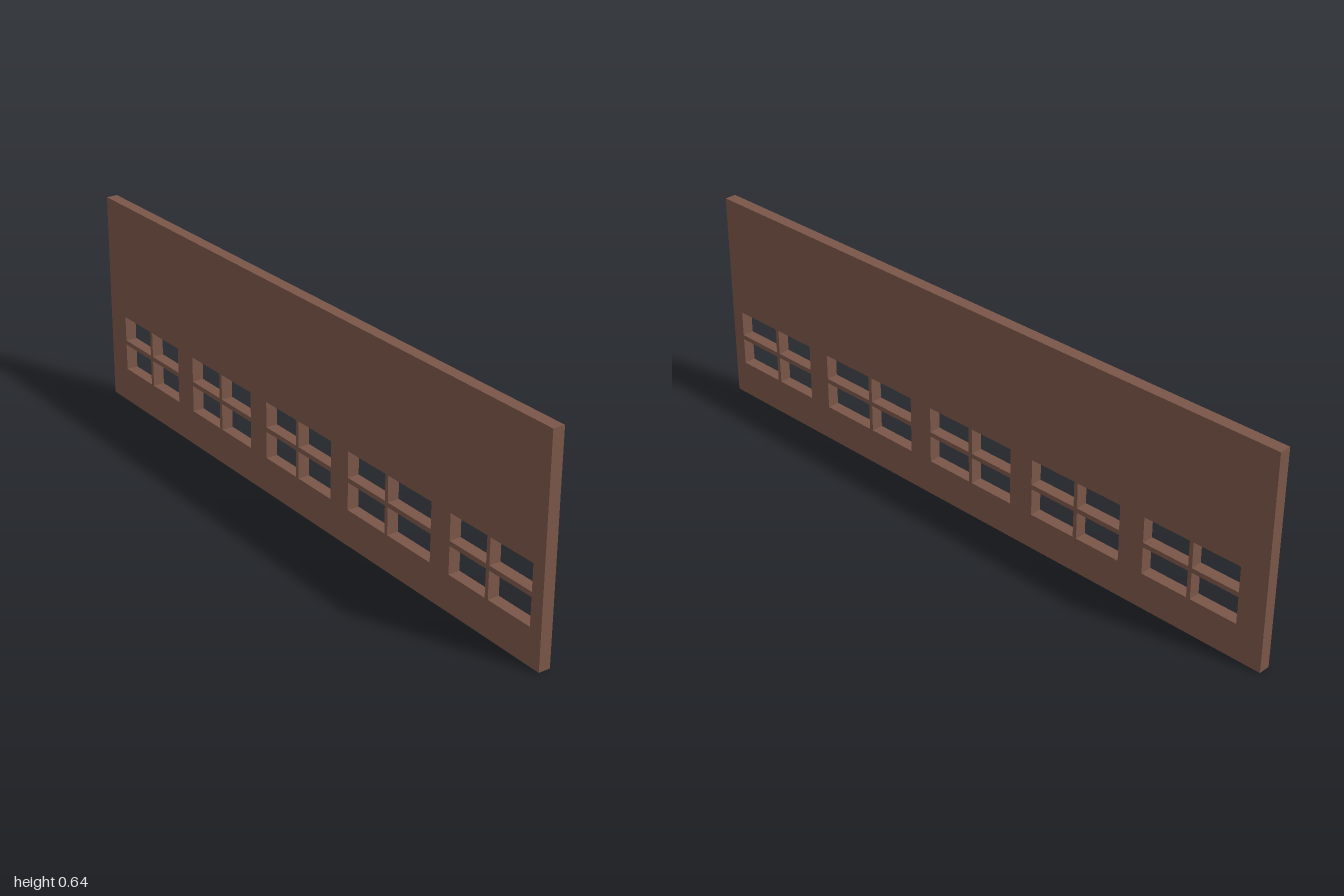
import * as THREE from 'three';

const LENGTH = 2, HEIGHT = 0.64, THICK = 0.035;

// Rectangular outline from two corners
function rect(target, u0, v0, u1, v1) {
  target.moveTo(u0, v0);
  target.lineTo(u1, v0);
  target.lineTo(u1, v1);
  target.lineTo(u0, v1);
  target.closePath();
  return target;
}

export function createModel() {
  const group = new THREE.Group();
  group.name = 'windowedWall';
  const brown = new THREE.MeshStandardMaterial({ color: 0x795548 });
  brown.name = 'brown';

  // Wall outline: u runs along the length (u = -z), v is height
  const outline = rect(new THREE.Shape(), -LENGTH / 2, 0, LENGTH / 2, HEIGHT);

  // Each window: start, mullion centre, end along the length
  const windows = [
    [-0.96, -0.80, -0.655],
    [-0.58, -0.398, -0.232],
    [-0.155, 0, 0.15],
    [0.228, 0.383, 0.533],
    [0.613, 0.765, 0.917],
  ];
  const rows = [[0.107, 0.188], [0.202, 0.279]];
  const bar = 0.006; // half width of a mullion

  // Four panes cut through the wall leave full-depth glazing bars
  for (const [start, mid, end] of windows) {
    for (const [low, high] of rows) {
      outline.holes.push(rect(new THREE.Path(), start, low, mid - bar, high));
      outline.holes.push(rect(new THREE.Path(), mid + bar, low, end, high));
    }
  }

  const geometry = new THREE.ExtrudeGeometry(outline, { depth: THICK, bevelEnabled: false });
  geometry.translate(0, 0, -THICK / 2);
  geometry.rotateY(Math.PI / 2);
  const wall = new THREE.Mesh(geometry, brown);
  wall.name = 'wall';
  group.add(wall);
  return group;
}
